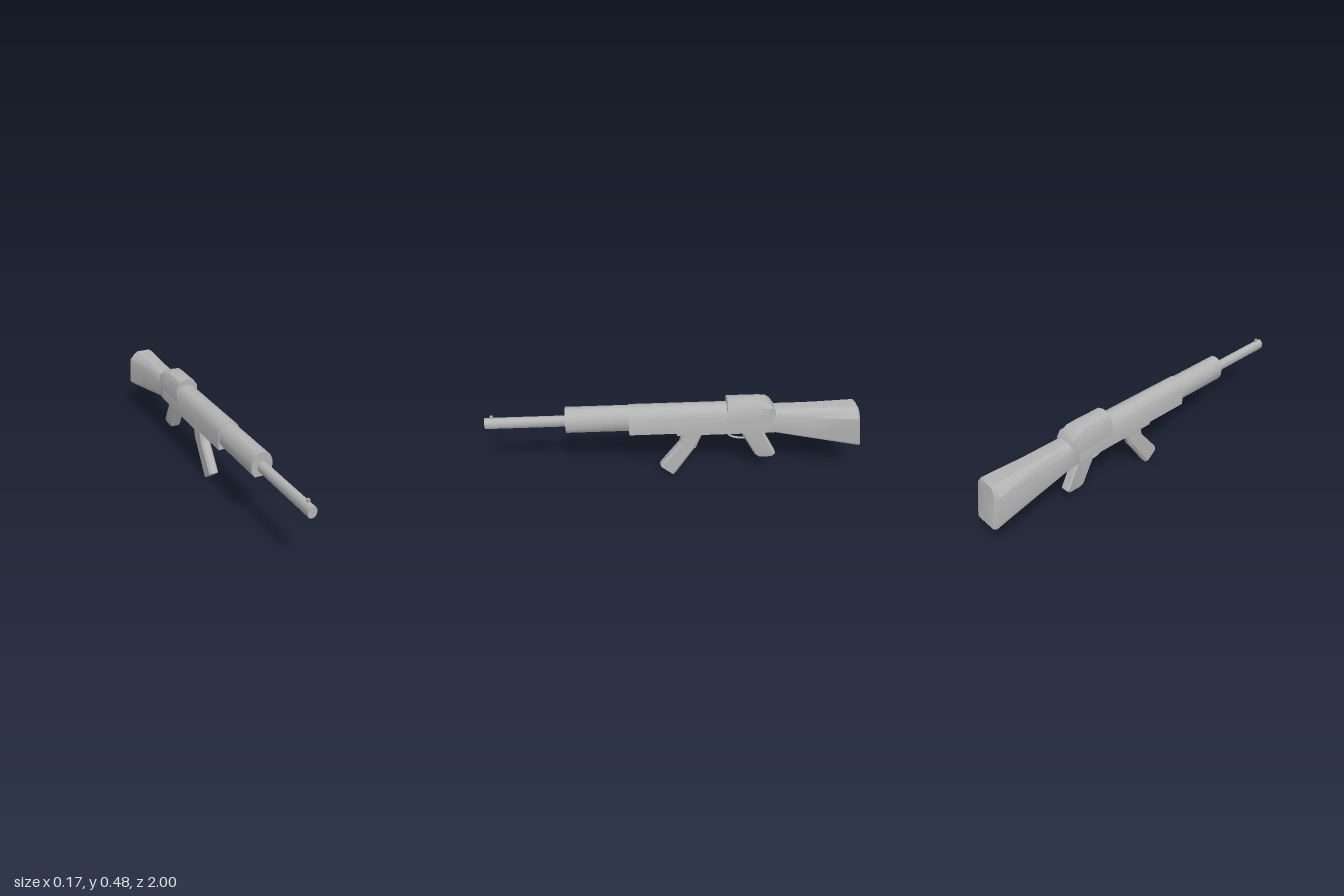
import * as THREE from 'three';
import { toCreasedNormals } from 'three/addons/utils/BufferGeometryUtils.js';

// Skin a list of equal-length rings (clockwise seen from the first end) and cap both ends
function loft(rings, crease = 0.7) {
  const n = rings[0].length, pos = [], idx = [];
  rings.forEach(r => r.forEach(p => pos.push(...p)));
  for (let i = 0; i < rings.length - 1; i++) {
    for (let j = 0; j < n; j++) {
      const a = i * n + j, b = i * n + (j + 1) % n;
      idx.push(a, b, a + n, b, b + n, a + n);
    }
  }
  [0, rings.length - 1].forEach((ri, end) => {
    const c = pos.length / 3, r = rings[ri];
    pos.push(...[0, 1, 2].map(k => r.reduce((s, p) => s + p[k], 0) / n));
    for (let j = 0; j < n; j++) {
      const a = ri * n + j, b = ri * n + (j + 1) % n;
      if (end) idx.push(c, a, b); else idx.push(c, b, a);
    }
  });
  const g = new THREE.BufferGeometry();
  g.setAttribute('position', new THREE.Float32BufferAttribute(pos, 3));
  g.setIndex(idx);
  return toCreasedNormals(g, crease);
}

// Mirror a half profile (top centre to bottom centre) into a ring at depth z, leaning by slope
function ring(half, z, slope = 0, yRef = 0.42) {
  const left = half.filter(p => p[0] > 0).reverse().map(([x, y]) => [-x, y]);
  return [...half, ...left].map(([x, y]) => [x, y, z - slope * (yRef - y)]);
}

// Chamfered ring between a front and a back point, each given as [z, y]
function barRing([f, b], w, c, t) {
  const pts = [[-c, 0], [-w, t], [-w, 1 - t], [-c, 1], [c, 1], [w, 1 - t], [w, t], [c, 0]];
  return pts.map(([x, k]) => [x, f[1] + (b[1] - f[1]) * k, f[0] + (b[0] - f[0]) * k]);
}

export function createModel() {
  const model = new THREE.Group();
  model.name = 'rifle';
  const grey = new THREE.MeshStandardMaterial({ color: 0xb4b4b4 });
  grey.name = 'plain grey';
  const add = (name, geometry) => {
    const mesh = new THREE.Mesh(geometry, grey);
    mesh.name = name;
    model.add(mesh);
    return mesh;
  };

  // Receiver with an arched top and a step down at the magazine
  const body = bottom => [[0, 0.447], [0.025, 0.442], [0.045, 0.425], [0.06, 0.395],
    [0.06, bottom], [0, bottom]];
  add('receiver', loft([
    ring(body(0.3), 0.25), ring(body(0.3), 0), ring(body(0.287), -0.002), ring(body(0.287), -0.48),
  ]));

  // Handguard
  const guard = [[0, 0.443], [0.022, 0.439], [0.042, 0.42], [0.055, 0.388], [0.055, 0.345],
    [0.037, 0.314], [0, 0.314]];
  add('handguard', loft([ring(guard, 0.58), ring(guard, 0.24)]));

  // Barrel and front sight
  const tube = [[0, 0.395], [0.012, 0.392], [0.022, 0.378], [0.023, 0.355], [0.014, 0.339], [0, 0.336]];
  add('barrel', loft([ring(tube, 1), ring(tube, 0.57)], 0.8));
  add('frontSight', new THREE.BoxGeometry(0.01, 0.024, 0.014)).position.set(0, 0.399, 0.962);

  // Raised rear cover, rounded down to the stock
  const cover = (top, w = 0.061) => [[0, 0.479], [0.041, 0.468], [w, 0.438], [w, 0.35], [0, 0.35]]
    .map(([x, y], i) => [x, Math.min(y, top - i * 0.003)]);
  add('rearCover', loft([
    ring(cover(0.5), -0.265), ring(cover(0.5), -0.43), ring(cover(0.468), -0.472),
    ring(cover(0.446, 0.06), -0.498), ring(cover(0.416, 0.058), -0.52),
  ]));

  // Stock flaring towards a leaning, bevelled butt
  const stock = (x1, x2, w, top, shoulder, side, bottom, wb) => [[0, top], [x1, top], [x2, shoulder],
    [w, side], [w, bottom + 0.014], [wb, bottom], [0, bottom]];
  add('stock', loft([
    ring(stock(0.03, 0.046, 0.06, 0.418, 0.41, 0.395, 0.287, 0.058), -0.46),
    ring(stock(0.03, 0.045, 0.059, 0.416, 0.408, 0.385, 0.287, 0.057), -0.53),
    ring(stock(0.033, 0.048, 0.064, 0.416, 0.405, 0.375, 0.245, 0.062), -0.73),
    ring(stock(0.04, 0.062, 0.085, 0.42, 0.402, 0.37, 0.196, 0.075), -0.95, 0.17),
    ring(stock(0.033, 0.048, 0.062, 0.408, 0.395, 0.37, 0.193, 0.06), -0.963, 0.163),
  ], 0.55));

  // Curved magazine in two lengths with a narrow collar at the bend
  add('magazineUpper', loft([
    barRing([[-0.035, 0.31], [-0.15, 0.31]], 0.027, 0.015, 0.14),
    barRing([[-0.038, 0.28], [-0.147, 0.28]], 0.027, 0.015, 0.14),
    barRing([[-0.018, 0.213], [-0.105, 0.172]], 0.027, 0.015, 0.14),
  ], 0.3));
  add('magazineCollar', loft([
    barRing([[-0.027, 0.25], [-0.118, 0.212]], 0.029, 0.017, 0.14),
    barRing([[-0.02, 0.218], [-0.104, 0.177]], 0.029, 0.017, 0.14),
  ], 0.3));
  add('magazineLower', loft([
    barRing([[-0.022, 0.213], [-0.1, 0.172]], 0.027, 0.015, 0.14),
    barRing([[0.08, 0.077], [0.001, 0.013]], 0.027, 0.015, 0.14),
    barRing([[0.088, 0.063], [0.01, 0]], 0.027, 0.015, 0.14),
  ], 0.3));

  // Pistol grip
  add('grip', loft([
    barRing([[-0.325, 0.31], [-0.445, 0.31]], 0.027, 0.02, 0.08),
    barRing([[-0.435, 0.118], [-0.547, 0.122]], 0.027, 0.02, 0.08),
    barRing([[-0.455, 0.104], [-0.532, 0.104]], 0.023, 0.018, 0.08),
  ], 0.3));

  // Trigger guard and trigger
  const bent = (name, pts, r) => add(name, new THREE.TubeGeometry(
    new THREE.CatmullRomCurve3(pts.map(([z, y]) => new THREE.Vector3(0, y, z))), 14, r, 6));
  bent('triggerGuard', [[-0.268, 0.292], [-0.276, 0.256], [-0.305, 0.231], [-0.345, 0.221], [-0.39, 0.221]], 0.006);
  bent('trigger', [[-0.3, 0.292], [-0.306, 0.272], [-0.316, 0.256]], 0.005);

  return model;
}
